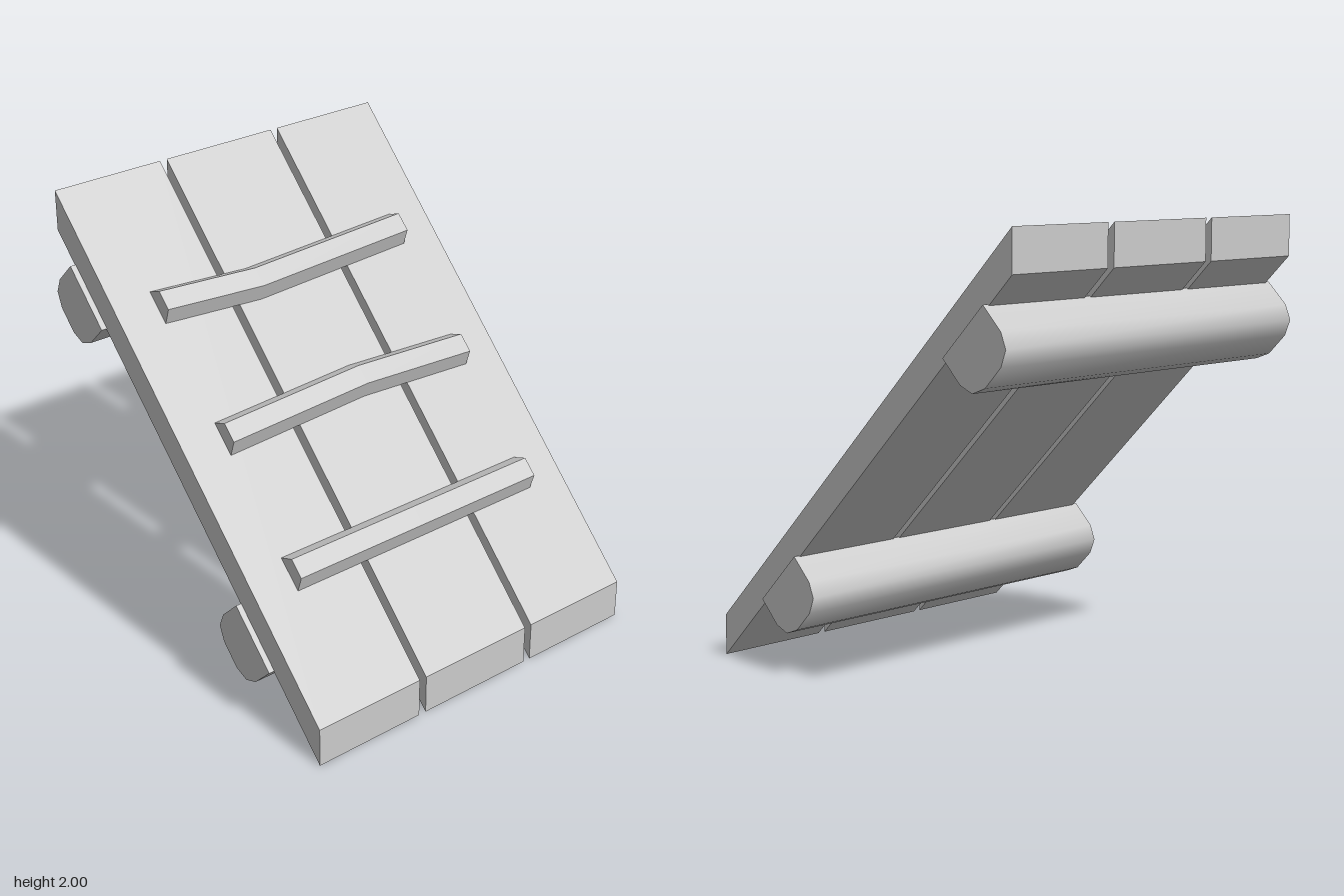
import * as THREE from 'three';
import { toCreasedNormals } from 'three/addons/utils/BufferGeometryUtils.js';

const material = new THREE.MeshStandardMaterial({ color: 0xcccccc });

// Extrudes a [z, y] side profile along x from x0 to x1
function prism(profile, x0, x1, steps = 1) {
  const shape = new THREE.Shape(profile.map(([z, y]) => new THREE.Vector2(-z, y)));
  return new THREE.ExtrudeGeometry(shape, { depth: x1 - x0, steps, bevelEnabled: false })
    .rotateY(Math.PI / 2)
    .translate(x0, 0, 0);
}

export function createModel() {
  const group = new THREE.Group();
  const add = (name, geometry) => {
    const mesh = new THREE.Mesh(geometry, material);
    mesh.name = name;
    group.add(mesh);
    return mesh;
  };

  // Three sloping planks with upright cut ends
  const plankProfile = [[0.91, 0], [0.91, 0.184], [-0.91, 2], [-0.91, 1.816]];
  [['rightPlank', -0.878, -0.33], ['middlePlank', -0.293, 0.29], ['leftPlank', 0.327, 0.876]]
    .forEach(([name, x0, x1]) => add(name, prism(plankProfile, x0, x1)));

  // Two rounded cross beams, flat against the underside
  const beamProfile = [
    [0.605, 0.312], [0.506, 0.212], [0.438, 0.185], [0.368, 0.212],
    [0.282, 0.3], [0.255, 0.37], [0.282, 0.438], [0.38, 0.536],
  ];
  [['lowerBeam', 0], ['upperBeam', 1.16]].forEach(([name, rise]) => {
    const geometry = toCreasedNormals(prism(beamProfile, -0.905, 0.905), 1);
    add(name, geometry).position.set(0, rise, -rise);
  });

  // Three foot cleats on top; two are bent up or down the slope
  const cleatProfile = [[0.513, 0.583], [0.538, 0.659], [0.473, 0.722], [0.4, 0.693]];
  [
    ['lowerCleat', 0, 0, 0],
    ['middleCleat', 0.457, 0.08, 0.022],
    ['upperCleat', 0.911, -0.18, -0.024],
  ].forEach(([name, rise, bendX, bend]) => {
    const geometry = prism(cleatProfile, -0.677, 0.675, 2);
    const p = geometry.attributes.position;
    for (let i = 0; i < p.count; i++) {
      if (Math.abs(p.getX(i)) < 0.1) p.setXYZ(i, bendX, p.getY(i) + bend, p.getZ(i) - bend);
    }
    geometry.computeVertexNormals();
    add(name, geometry).position.set(0, rise, -rise);
  });

  return group;
}
